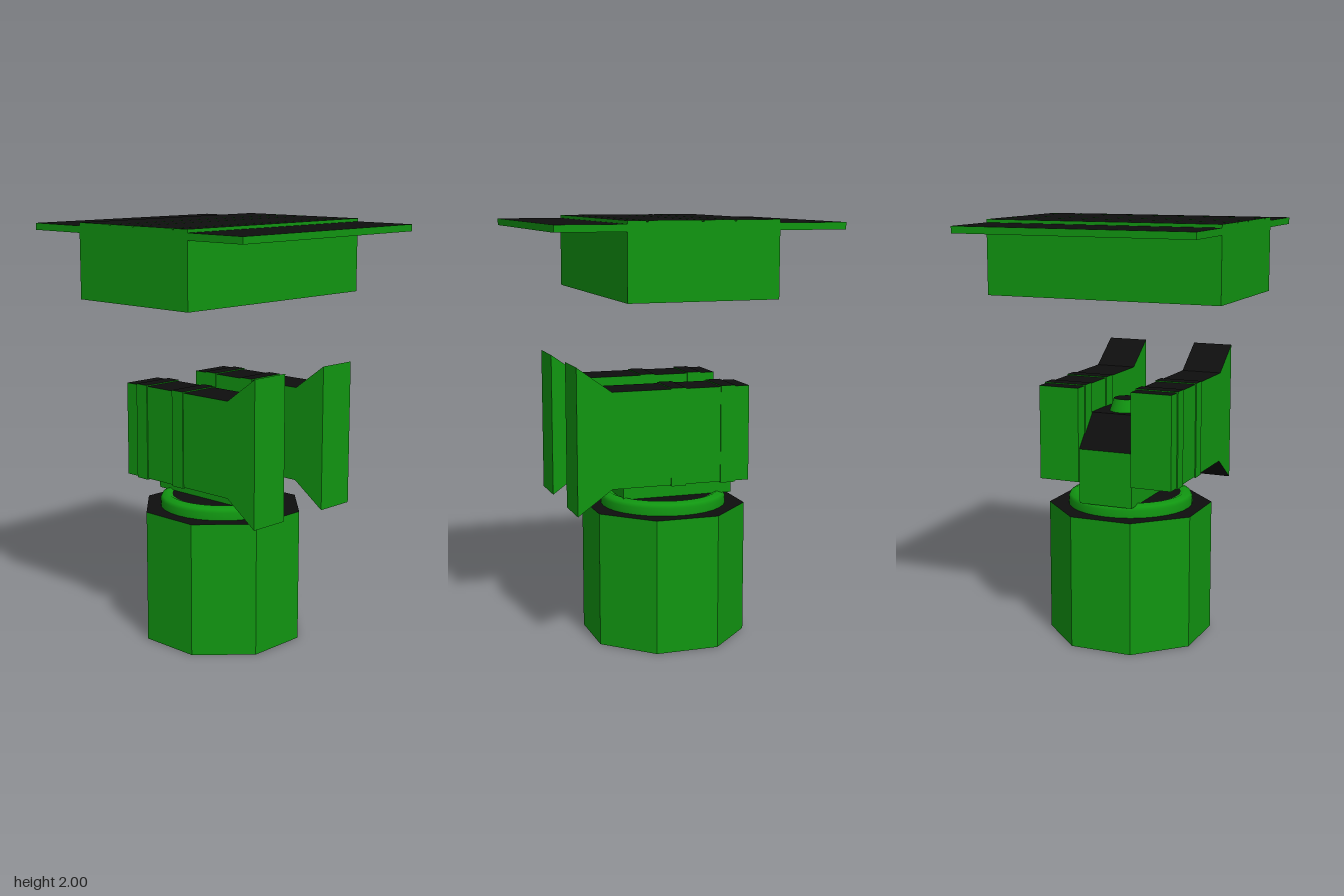
import * as THREE from 'three';

const green = new THREE.MeshStandardMaterial({ color: 0x119611, side: THREE.DoubleSide });
green.name = 'green paint';
const black = new THREE.MeshStandardMaterial({ color: 0x0e0e0e, side: THREE.DoubleSide });
black.name = 'black paint';

// Faces that point up or down are black, upright faces are green
function twoTone(name, source) {
  const geo = source.index ? source.toNonIndexed() : source;
  geo.clearGroups();
  const p = geo.attributes.position;
  const tri = new THREE.Triangle();
  const normal = new THREE.Vector3();
  for (let i = 0; i < p.count; i += 3) {
    tri.setFromAttributeAndIndices(p, i, i + 1, i + 2).getNormal(normal);
    geo.addGroup(i, 3, Math.abs(normal.y) > 0.6 ? 1 : 0);
  }
  const mesh = new THREE.Mesh(geo, [green, black]);
  mesh.name = name;
  return mesh;
}

// Box given by its limits on each axis
function box(name, x0, x1, y0, y1, z0, z1) {
  const geo = new THREE.BoxGeometry(x1 - x0, y1 - y0, z1 - z0);
  geo.translate((x0 + x1) / 2, (y0 + y1) / 2, (z0 + z1) / 2);
  return twoTone(name, geo);
}

// Side profile of [z, y] points, extruded across x
function sideProfile(name, points, x0, x1) {
  const shape = new THREE.Shape(points.map(([z, y]) => new THREE.Vector2(z, y)));
  const geo = new THREE.ExtrudeGeometry(shape, { depth: x1 - x0, bevelEnabled: false });
  geo.translate(0, 0, -x1).rotateY(-Math.PI / 2);
  return twoTone(name, geo);
}

export function createModel() {
  const model = new THREE.Group();
  model.name = 'turret';

  // Eight-sided pedestal, open underneath
  const r = 0.363 / Math.cos(Math.PI / 8);
  const wallGeo = new THREE.CylinderGeometry(r, r, 0.637, 8, 1, true, Math.PI / 8).toNonIndexed();
  wallGeo.computeVertexNormals();
  const wall = new THREE.Mesh(wallGeo, green);
  wall.name = 'pedestalWall';
  wall.position.y = 0.3185;
  const lid = new THREE.Mesh(new THREE.CircleGeometry(r, 8, Math.PI / 8).rotateX(-Math.PI / 2), black);
  lid.name = 'pedestalTop';
  lid.position.y = 0.637;
  model.add(wall, lid);

  // Rounded swivel ring with a flat top
  const profile = [[0.3, 0.637], [0.3, 0.672], [0.292, 0.688], [0.265, 0.7], [0.24, 0.69]];
  const ring = new THREE.Mesh(new THREE.LatheGeometry(profile.map(([x, y]) => new THREE.Vector2(x, y)), 32), green);
  ring.name = 'swivelRing';
  const ringTop = new THREE.Mesh(new THREE.CircleGeometry(0.245, 32).rotateX(-Math.PI / 2), black);
  ringTop.name = 'swivelTop';
  ringTop.position.y = 0.691;
  model.add(ring, ringTop);

  // Central body with chamfered front and back
  model.add(sideProfile('centralBody', [
    [-0.3, 0.69], [0.24, 0.69], [0.24, 0.95], [0.1, 1.1], [-0.16, 1.1], [-0.3, 0.95],
  ], -0.132, 0.132));

  // Tapered button on the body
  const button = twoTone('button', new THREE.CylinderGeometry(0.06, 0.08, 0.06, 16));
  button.position.set(0, 1.13, -0.05);
  model.add(button);

  // Two flared side arms, each with two raised bands
  for (const side of [-1, 1]) {
    const arm = new THREE.Group();
    arm.name = side > 0 ? 'leftArm' : 'rightArm';
    const span = (a, b) => (side > 0 ? [a, b] : [-b, -a]);
    arm.add(sideProfile('armBody', [
      [-0.31, 0.793], [0.35, 0.793], [0.513, 0.677], [0.513, 1.356], [0.35, 1.238], [-0.31, 1.238],
    ], ...span(0.132, 0.33)));
    for (const z of [0, -0.24]) {
      arm.add(box('armBand', ...span(0.127, 0.335), 0.788, 1.243, z, z + 0.07));
    }
    model.add(arm);
  }

  // Floating canopy: wide thin plate around a deep box
  const canopy = new THREE.Group();
  canopy.name = 'canopy';
  canopy.add(box('canopyBox', -0.57, 0.57, 1.652, 1.994, -0.348, 0.348));
  for (const s of [-1, 1]) {
    canopy.add(box('canopyWing', -0.57, 0.57, 1.953, 1.985, s > 0 ? 0.348 : -0.665, s > 0 ? 0.665 : -0.348));
  }
  // Low slats with narrow grooves between them
  const seams = [-0.348, -0.14, 0.01, 0.26, 0.348];
  for (let i = 0; i < 4; i++) {
    canopy.add(box('canopySlat', -0.57, 0.57, 1.994, 2, seams[i] + (i ? 0.005 : 0), seams[i + 1] - (i < 3 ? 0.005 : 0)));
  }
  model.add(canopy);

  return model;
}
